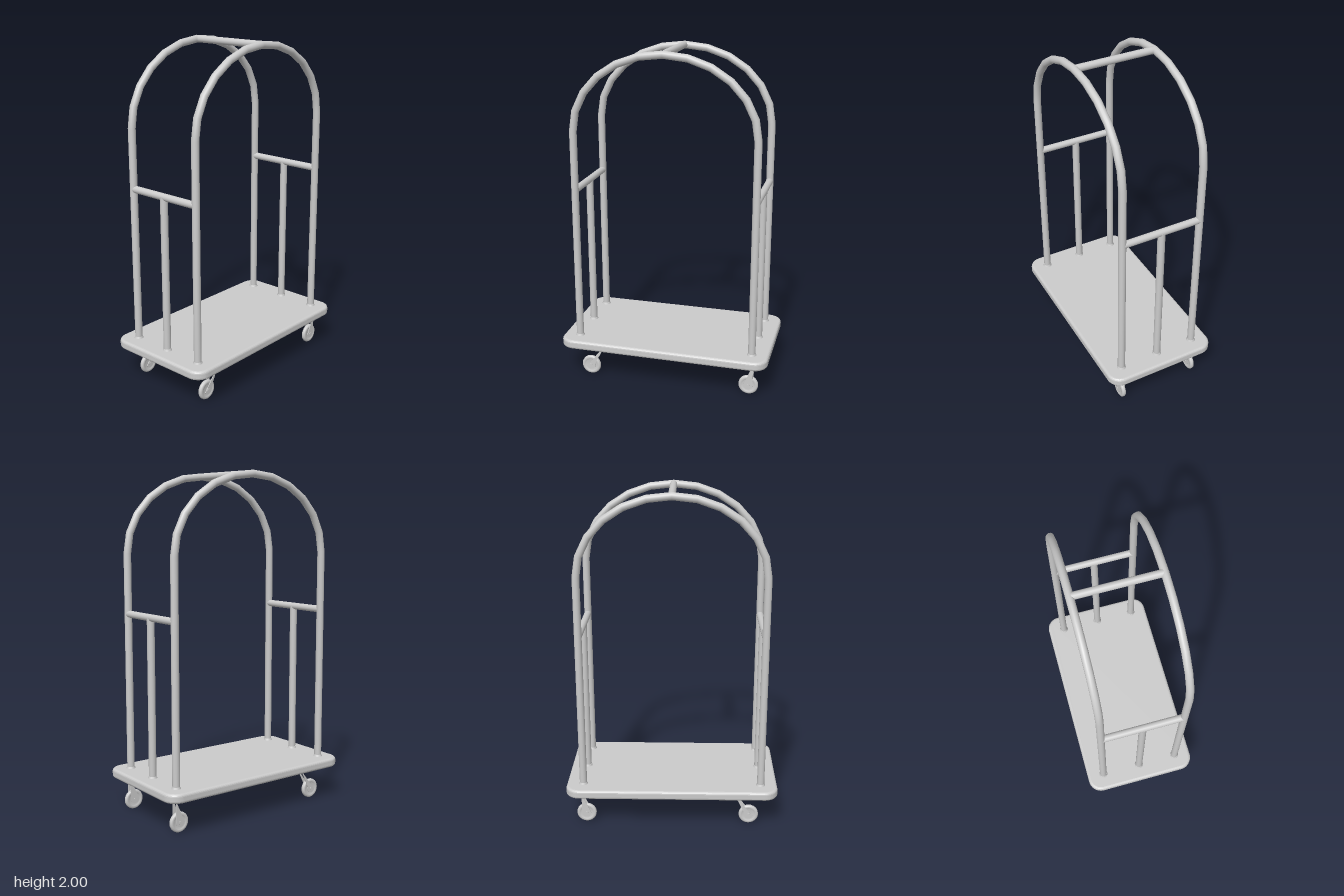
import * as THREE from 'three';

const mat = new THREE.MeshStandardMaterial({ color: 0xcccccc });
const R = 0.022, PX = 0.533, PZ = 0.243, DECK_TOP = 0.255;

// Curve that lands exactly on given points, with mitred tangents
class Polyline extends THREE.Curve {
  constructor(pts) { super(); this.pts = pts; }
  getPointAt(u, target = new THREE.Vector3()) {
    return target.copy(this.pts[Math.round(u * (this.pts.length - 1))]);
  }
  getTangentAt(u, target = new THREE.Vector3()) {
    const p = this.pts, n = p.length - 1, i = Math.round(u * n);
    target.set(0, 0, 0);
    if (i > 0) target.add(p[i].clone().sub(p[i - 1]).normalize());
    if (i < n) target.add(p[i + 1].clone().sub(p[i]).normalize());
    return target.normalize();
  }
}

function add(parent, name, geo, x = 0, y = 0, z = 0) {
  const m = new THREE.Mesh(geo, mat);
  m.name = name;
  m.position.set(x, y, z);
  parent.add(m);
  return m;
}

// Platform with rounded corners and softened edges
function deckGeometry() {
  const b = 0.016, w = 0.633 - b, d = 0.347 - b, r = 0.065, s = new THREE.Shape();
  s.absarc(w - r, d - r, r, 0, Math.PI / 2);
  s.absarc(-w + r, d - r, r, Math.PI / 2, Math.PI);
  s.absarc(-w + r, -d + r, r, Math.PI, Math.PI * 1.5);
  s.absarc(w - r, -d + r, r, Math.PI * 1.5, Math.PI * 2);
  const g = new THREE.ExtrudeGeometry(s, {
    depth: 0.055 - 2 * b, bevelSize: b, bevelThickness: b, bevelSegments: 4, curveSegments: 6,
  });
  return g.rotateX(-Math.PI / 2).translate(0, 0.2 + b, 0);
}

// Upright, half-ellipse over the top, upright
function hoopGeometry() {
  const pts = [new THREE.Vector3(PX, 0.23, 0)];
  for (let i = 0; i <= 12; i++) {
    const a = i * Math.PI / 12;
    pts.push(new THREE.Vector3(PX * Math.cos(a), 1.53 + 0.448 * Math.sin(a), 0));
  }
  pts.push(new THREE.Vector3(-PX, 0.23, 0));
  return new THREE.TubeGeometry(new Polyline(pts), pts.length - 1, R, 14);
}

// Castor: mounting disc at the origin, wheel trailing by dx along x
function castor(dx) {
  const g = new THREE.Group();
  g.name = 'castor';
  add(g, 'mountingPlate', new THREE.CylinderGeometry(0.053, 0.053, 0.008, 20), 0, 0.196, 0);
  add(g, 'swivel', new THREE.CylinderGeometry(0.032, 0.036, 0.008, 16), 0, 0.188, 0);

  // Two fork cheeks, rounded around the axle
  const s = new THREE.Shape(), lean = Math.atan2(dx, 0.125);
  s.moveTo(-0.028, 0.188);
  s.absarc(dx, 0.063, 0.028, Math.PI - lean, Math.PI * 2 - lean);
  s.lineTo(0.028, 0.188);
  const cheek = new THREE.ExtrudeGeometry(s, { depth: 0.004, bevelEnabled: false, curveSegments: 12 });
  for (const z of [0.014, -0.018]) add(g, 'forkCheek', cheek, 0, 0, z);

  // Narrow wheel with a rounded tread
  const profile = [[0, -0.008], [0.036, -0.008], [0.039, -0.013], [0.05, -0.013], [0.056, -0.01], [0.059, -0.005],
    [0.059, 0.005], [0.056, 0.01], [0.05, 0.013], [0.039, 0.013], [0.036, 0.008], [0, 0.008]]
    .map(([x, y]) => new THREE.Vector2(x, y));
  add(g, 'wheel', new THREE.LatheGeometry(profile, 24).rotateX(Math.PI / 2), dx, 0.06, 0);
  add(g, 'axle', new THREE.CylinderGeometry(0.01, 0.01, 0.042, 12).rotateX(Math.PI / 2), dx, 0.06, 0);
  return g;
}

export function createModel() {
  const cart = new THREE.Group();
  cart.name = 'luggageCart';
  add(cart, 'deck', deckGeometry());

  const hoop = hoopGeometry();
  for (const s of [1, -1]) add(cart, 'hoop', hoop, 0, 0, s * PZ);

  // Cross bars, centre posts and base collars
  const bar = new THREE.CylinderGeometry(0.021, 0.021, PZ * 2, 14).rotateX(Math.PI / 2);
  const post = new THREE.CylinderGeometry(R, R, 0.95, 14);
  const collar = new THREE.CylinderGeometry(R + 0.001, 0.028, 0.012, 14);
  add(cart, 'topBar', bar, 0, 1.978, 0);
  for (const x of [PX, -PX]) {
    add(cart, 'sideBar', bar, x, 1.18, 0);
    add(cart, 'centrePost', post, x, 0.705, 0);
    for (const z of [PZ, 0, -PZ]) add(cart, 'collar', collar, x, DECK_TOP + 0.005, z);
  }

  // Castors: straight at the left end, trailing at the right end
  for (const z of [PZ, -PZ]) {
    for (const [x, dx] of [[0.518, 0], [-0.41, -0.055]]) {
      const c = castor(dx);
      c.position.set(x, 0, z);
      cart.add(c);
    }
  }
  return cart;
}
